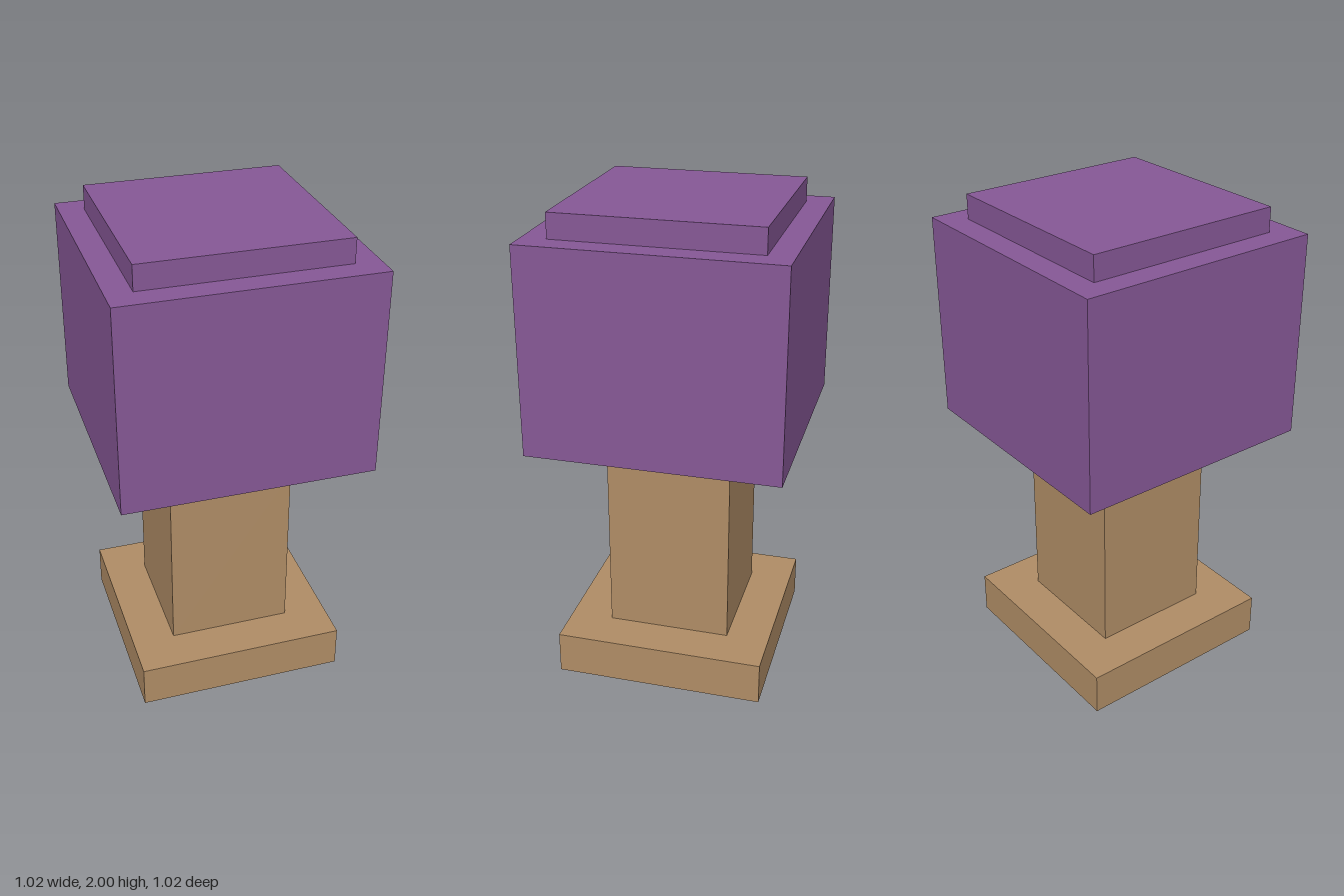
import * as THREE from 'three';

export function createModel() {
  const group = new THREE.Group();
  const wood = new THREE.MeshStandardMaterial({ color: 0xb08d66 });
  wood.name = 'tan wood';
  const purple = new THREE.MeshStandardMaterial({ color: 0x865896 });
  purple.name = 'purple';

  // Square block spanning y0..y1, centred on the vertical axis
  const block = (name, width, y0, y1, material) => {
    const mesh = new THREE.Mesh(new THREE.BoxGeometry(width, y1 - y0, width), material);
    mesh.name = name;
    mesh.position.y = (y0 + y1) / 2;
    group.add(mesh);
  };

  // Stepped pedestal
  block('base', 0.87, 0, 0.18, wood);
  block('post', 0.514, 0.18, 0.925, wood);
  block('neck', 0.406, 0.925, 1.053, wood);

  // Square head with a thin wooden underside and a raised cap
  block('headUnderside', 0.886, 1.053, 1.055, wood);
  block('head', 1.024, 1.055, 1.9, purple);
  block('cap', 0.82, 1.9, 2, purple);

  return group;
}
